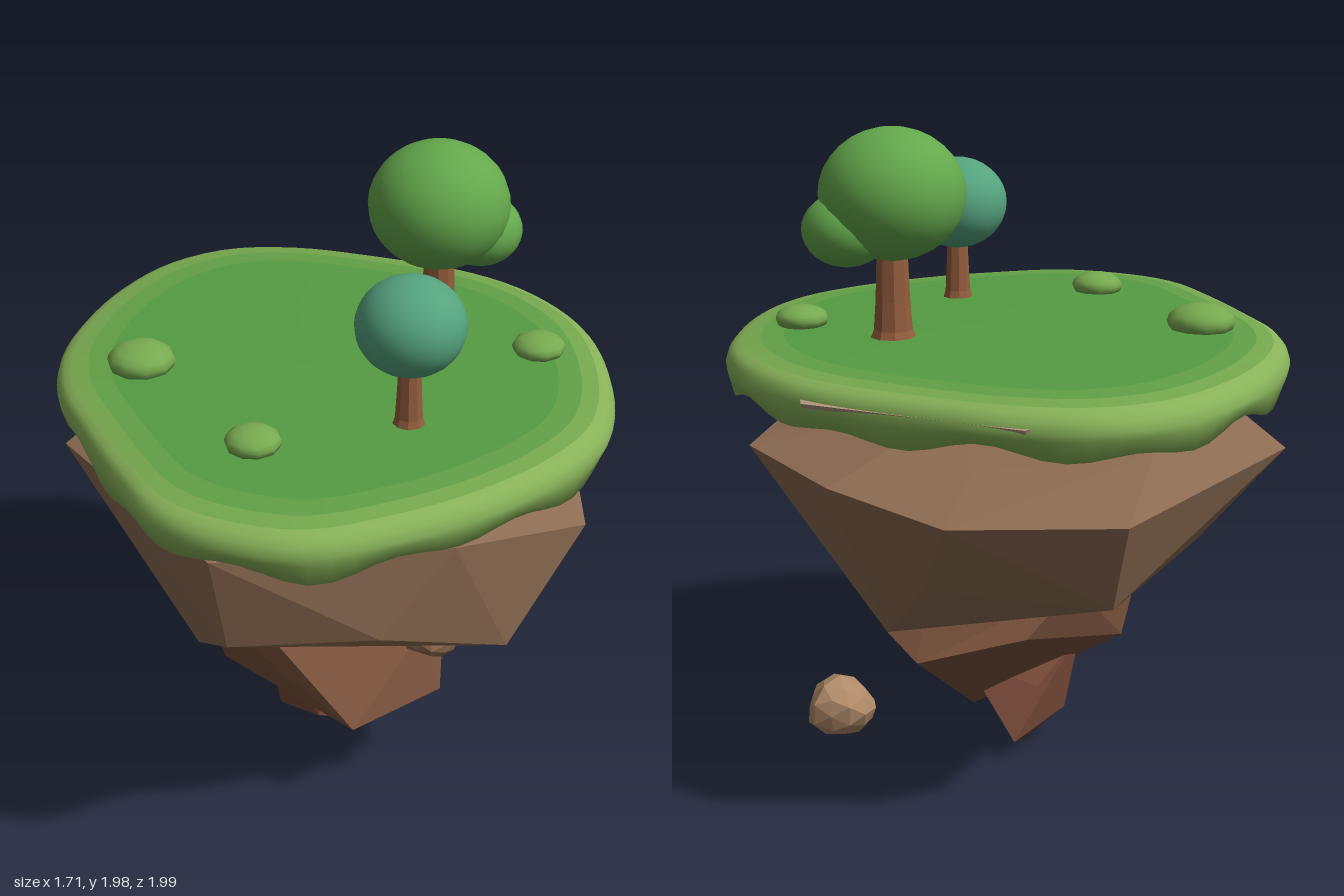
import * as THREE from 'three';
import { ConvexGeometry } from 'three/addons/geometries/ConvexGeometry.js';

const mat = (color, flatShading = false) => new THREE.MeshStandardMaterial({ color, flatShading });

function add(parent, name, geometry, material, pos = [0, 0, 0], scale = [1, 1, 1]) {
  const mesh = new THREE.Mesh(geometry, material);
  mesh.name = name;
  mesh.position.set(...pos);
  mesh.scale.set(...scale);
  parent.add(mesh);
  return mesh;
}

// Island outline seen from above, as x, z pairs
const OUTLINE = [
  [-0.21, -0.98], [0.02, -0.94], [0.40, -0.82], [0.60, -0.68], [0.76, -0.46], [0.83, -0.24],
  [0.855, 0.08], [0.815, 0.32], [0.69, 0.53], [0.48, 0.74], [0.27, 0.88], [0, 0.995], [-0.26, 0.95],
  [-0.42, 0.85], [-0.55, 0.66], [-0.71, 0.37], [-0.81, 0.16], [-0.855, -0.08], [-0.83, -0.34],
  [-0.76, -0.58], [-0.63, -0.81], [-0.44, -0.95],
];

// Surface through scaled copies of the outline; each ring is [scale, height, wave amount]
function loft(rings, n = 88) {
  const curve = new THREE.CatmullRomCurve3(OUTLINE.map(([x, z]) => new THREE.Vector3(x, 0, z)), true);
  const outline = curve.getSpacedPoints(n).slice(0, n);
  const pos = [], index = [];
  rings.forEach(([s, y, wave = 0], r) => outline.forEach((p, i) => {
    const a = (i / n) * Math.PI * 2;
    const w = wave * (0.6 * Math.sin(a * 13) + 0.4 * Math.sin(a * 7 + 1));
    pos.push(p.x * s, y + w, p.z * s);
    if (r === rings.length - 1) return;
    const j = (i + 1) % n, k = r * n;
    index.push(k + i, k + j, k + n + i, k + j, k + n + j, k + n + i);
  }));
  const g = new THREE.BufferGeometry();
  g.setAttribute('position', new THREE.Float32BufferAttribute(pos, 3));
  g.setIndex(index);
  g.computeVertexNormals();
  return g;
}

const hull = (pts) => new ConvexGeometry(pts.map((p) => new THREE.Vector3(...p)));

// Faceted pebble, its corners pushed in and out by a rule of their position
function pebble(r) {
  const g = new THREE.IcosahedronGeometry(r, 1);
  const p = g.attributes.position, v = new THREE.Vector3();
  for (let i = 0; i < p.count; i++) {
    v.fromBufferAttribute(p, i);
    const k = 1 + 0.09 * Math.sin((v.x * 5 + v.y * 9 + v.z * 13) / r);
    p.setXYZ(i, v.x * k, v.y * k, v.z * k);
  }
  g.computeVertexNormals();
  return g;
}

function tree(name, x, z, trunkR, trunkTop, crowns) {
  const g = new THREE.Group();
  g.name = name;
  const base = 1.35;
  const profile = [[1.25, 0], [1.02, 0.03], [0.9, 0.12], [0.78, trunkTop - base]]
    .map(([r, y]) => new THREE.Vector2(r * trunkR, y));
  add(g, 'trunk', new THREE.LatheGeometry(profile, 9), mat(0x935d3c, true), [x, base, z]);
  for (const [pos, r, ry, color] of crowns)
    add(g, 'crown', new THREE.SphereGeometry(r, 24, 16), mat(color), pos, [1, ry / r, 1]);
  return g;
}

export function createModel() {
  const model = new THREE.Group();
  model.name = 'floatingIsland';

  // Grass: slightly domed meadow growing lighter towards a rounded rim with a wavy hanging skirt
  const grass = new THREE.Group();
  grass.name = 'grass';
  model.add(grass);
  add(grass, 'meadow', loft([[0, 1.36], [0.5, 1.358], [0.8, 1.353]]), mat(0x559c43));
  add(grass, 'meadowEdge', loft([[0.8, 1.353], [0.88, 1.349]]), mat(0x63a147));
  add(grass, 'meadowBorder', loft([[0.88, 1.349], [0.94, 1.341]]), mat(0x76a94e));
  add(grass, 'rim', loft([[0.94, 1.341], [0.97, 1.331], [0.99, 1.312], [1, 1.285], [0.995, 1.262, 0.005],
    [0.975, 1.212, 0.026], [0.94, 1.24, 0.02], [0.88, 1.27], [0.6, 1.28]]), mat(0x88b259));

  // Rock: cap under the grass, wide body, twisted wedge and tip
  const rock = new THREE.Group();
  rock.name = 'rock';
  model.add(rock);
  add(rock, 'rockCap', hull([
    [-0.23, 1.295, -0.995], [0.42, 1.295, -0.845], [-0.23, 1.28, -0.98], [0.42, 1.28, -0.83],
    [0.68, 1.29, -0.1], [0.5, 1.29, 0.45], [-0.1, 1.29, 0.7], [-0.6, 1.29, 0.2], [-0.62, 1.29, -0.45],
    [0.32, 1.15, -0.3], [0.25, 1.15, 0.25], [-0.25, 1.15, 0.35], [-0.3, 1.15, -0.35],
  ]), mat(0xb0967a, true));
  add(rock, 'rockBody', hull([
    [-0.1, 1.19, 0.1], [0.1, 1.17, -0.35], [-0.52, 1.14, -0.6],
    [-0.85, 1.02, -0.06], [-0.27, 1.17, 0.85], [0.4, 1.08, 0.57], [0.78, 0.99, 0.26], [0.73, 1.03, -0.38],
    [0.37, 1.04, -0.79], [0, 0.99, -0.94], [-0.49, 1.0, -0.86], [-0.03, 1.09, -0.73],
    [-0.24, 0.82, 0.74], [0.19, 0.8, 0.64], [0.62, 0.79, -0.12], [0.56, 0.64, 0.4], [0.14, 0.69, -0.61],
    [-0.6, 0.77, 0.15], [-0.58, 0.69, 0], [-0.42, 0.69, -0.66], [-0.38, 0.58, 0.37], [0.36, 0.39, -0.2],
  ]), mat(0x8f6d54, true));
  add(rock, 'rockWedge', hull([
    [0.1, 0.31, 0.42], [0.36, 0.305, 0.17], [0.36, 0.39, -0.2], [0.2, 0.4, -0.46], [0.1, 0.14, -0.12],
    [-0.34, 0.33, 0.08], [-0.39, 0.57, 0.17], [-0.2, 0.58, 0.27], [0.3, 0.52, 0.15],
    [-0.13, 0.49, -0.43], [-0.25, 0.62, -0.3],
  ]), mat(0x7c533d, true));
  add(rock, 'rockTip', hull([
    [-0.22, 0.36, 0], [0, 0.36, 0.12], [0.12, 0.3, -0.16], [-0.11, 0.22, -0.14],
    [-0.17, 0.1, 0], [-0.03, 0.17, 0.16], [-0.05, 0.005, -0.06], [-0.05, 0.06, -0.22], [0.11, 0.12, 0.1],
  ]), mat(0x794a38, true));

  // Loose stones: one drifting behind, one lodged in the body
  add(model, 'driftingStone', pebble(0.102), mat(0xb08a69, true), [0.43, 0.265, -0.5], [1, 0.9, 1]);
  add(model, 'lodgedStone', pebble(0.085), mat(0x8f6a50, true), [0.335, 0.61, 0.34], [1, 0.55, 0.8]);

  // Trees
  model.add(tree('largeTree', 0.31, -0.26, 0.058, 1.65, [
    [[0.305, 1.785, -0.265], 0.217, 0.195, 0x64a84c],
    [[0.43, 1.685, -0.32], 0.132, 0.11, 0x64a84c],
  ]));
  model.add(tree('smallTree', 0.25, 0.345, 0.04, 1.58, [
    [[0.25, 1.665, 0.345], 0.16, 0.145, 0x55a37e],
  ]));

  // Bushes
  for (const [x, z, r, ry] of [[-0.575, 0.04, 0.105, 0.055], [-0.18, 0.525, 0.083, 0.043], [0.625, -0.15, 0.083, 0.04]])
    add(model, 'bush', new THREE.SphereGeometry(r, 10, 8), mat(0x78ab50), [x, 1.376, z], [1, ry / r, 1]);

  return model;
}
